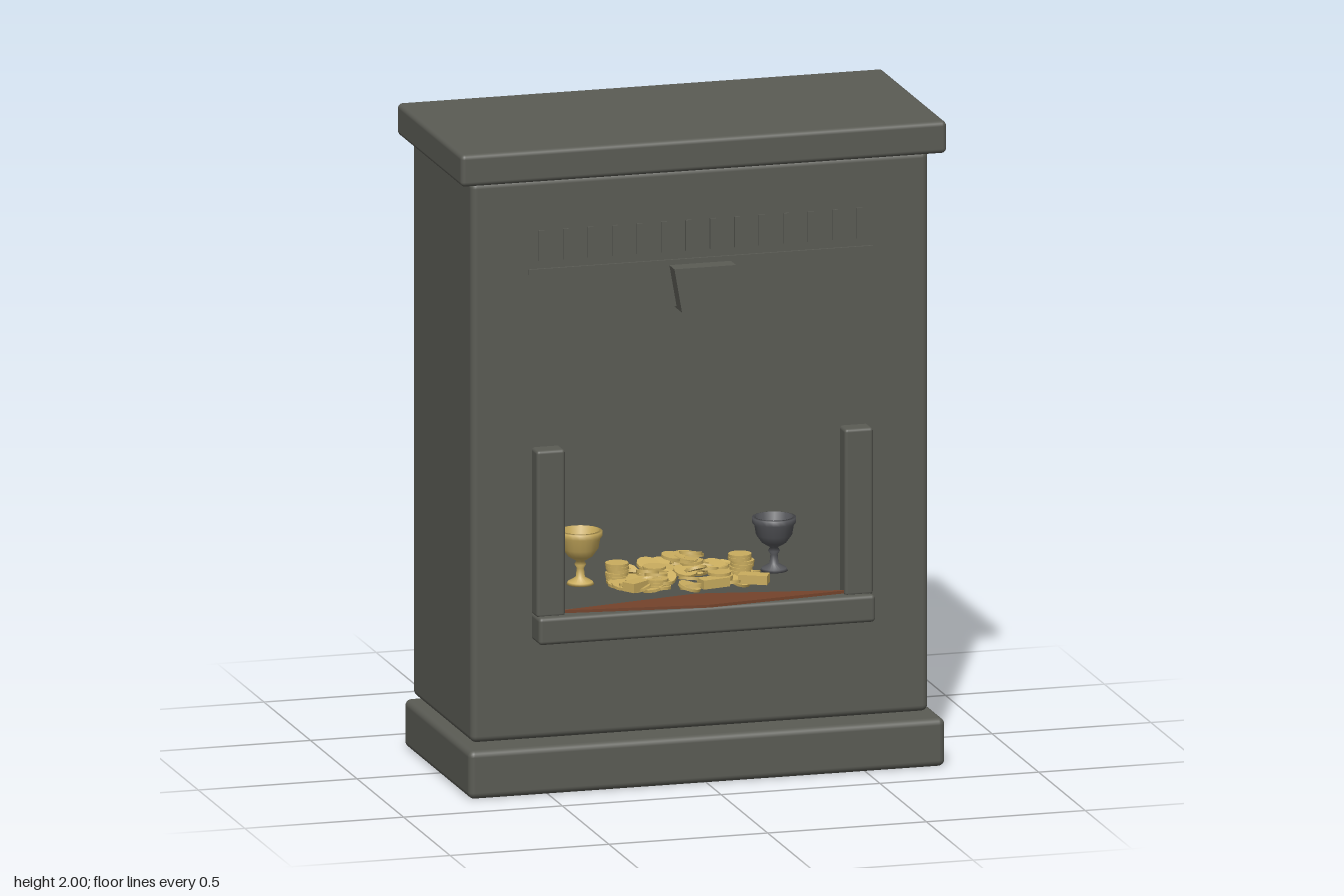
import * as THREE from 'three';
import { RoundedBoxGeometry } from 'three/addons/geometries/RoundedBoxGeometry.js';

export function createModel() {
  const model = new THREE.Group();
  model.name = 'fireplace';

  const material = (name, color, side = THREE.FrontSide) => {
    const m = new THREE.MeshStandardMaterial({ color, side });
    m.name = name;
    return m;
  };
  const stone = material('stone', 0x5a5b54);
  const shell = material('stone shell', 0x5a5b54, THREE.DoubleSide);
  const gold = material('gold', 0xc9ac5e, THREE.DoubleSide);
  const pewter = material('pewter', 0x55565a, THREE.DoubleSide);
  const leather = material('brown cloth', 0x74432b);

  const add = (name, geometry, mat, parent = model) => {
    const mesh = new THREE.Mesh(geometry, mat);
    mesh.name = name;
    parent.add(mesh);
    return mesh;
  };
  // Rounded slab given by its two opposite corners
  const slab = (name, [x0, y0, z0], [x1, y1, z1], r) => {
    const g = new RoundedBoxGeometry(x1 - x0, y1 - y0, z1 - z0, 3, r);
    return add(name, g.translate((x0 + x1) / 2, (y0 + y1) / 2, (z0 + z1) / 2), stone);
  };

  // Plinth and mantel
  slab('plinth', [-0.75, 0, -0.35], [0.75, 0.15, 0.355], 0.02);
  slab('mantel', [-0.765, 1.9, -0.375], [0.765, 2, 0.32], 0.015);

  // Hollow body: a rounded box whose flat front is swapped for an arched panel
  const r = 0.02, zFront = 0.275, zBack = -0.36, y0 = 0.155, y1 = 1.9;
  const depth = zFront - zBack;
  const box = new RoundedBoxGeometry(1.44, y1 - y0, depth, 3, r);
  const pos = box.attributes.position, nor = box.attributes.normal;
  const keptPos = [], keptNor = [];
  for (let i = 0; i < pos.count; i += 3) {
    const isFront = [0, 1, 2].every((k) => pos.getZ(i + k) > depth / 2 - 1e-4);
    if (isFront) continue;
    for (let k = i; k < i + 3; k++) {
      keptPos.push(pos.getX(k), pos.getY(k), pos.getZ(k));
      keptNor.push(nor.getX(k), nor.getY(k), nor.getZ(k));
    }
  }
  const body = new THREE.BufferGeometry();
  body.setAttribute('position', new THREE.Float32BufferAttribute(keptPos, 3));
  body.setAttribute('normal', new THREE.Float32BufferAttribute(keptNor, 3));
  body.translate(0, (y0 + y1) / 2, (zFront + zBack) / 2);
  add('bodyShell', body, shell);

  const panel = new THREE.Shape();
  const hx = 0.72 - r;
  panel.moveTo(-hx, y0 + r).lineTo(hx, y0 + r).lineTo(hx, y1 - r).lineTo(-hx, y1 - r).closePath();
  const arch = new THREE.Path();
  arch.moveTo(-0.43, 0.54).lineTo(0.43, 0.54).lineTo(0.43, 1.05);
  arch.absarc(0, 1.05, 0.43, 0, Math.PI, false);
  arch.closePath();
  panel.holes.push(arch);
  add('archedFront', new THREE.ShapeGeometry(panel, 24).translate(0, 0, zFront), shell);

  // Sill and side posts of the opening
  slab('sill', [-0.53, 0.465, 0.25], [0.53, 0.55, 0.355], 0.012);
  for (const s of [-1, 1]) {
    const x = s * 0.485;
    slab(s > 0 ? 'leftPost' : 'rightPost', [x - 0.045, 0.545, 0.25], [x + 0.045, 1.065, 0.33], 0.01);
  }

  // Keystone
  const key = new THREE.Shape();
  key.moveTo(-0.073, 1.465).lineTo(0.073, 1.465).lineTo(0.097, 1.602).lineTo(-0.097, 1.602).closePath();
  add('keystone', new THREE.ExtrudeGeometry(key, { depth: 0.08, bevelEnabled: false }).translate(0, 0, 0.25), stone);

  // Low-relief frieze: a moulding with a row of plain upright bars
  add('friezeMoulding', new THREE.BoxGeometry(1.085, 0.016, 0.009), stone).position.set(0, 1.612, zFront + 0.003);
  const frieze = new THREE.Group();
  frieze.name = 'friezeBars';
  model.add(frieze);
  for (let i = 0; i < 14; i++) {
    add('friezeBar', new THREE.BoxGeometry(0.018, 0.095, 0.008), stone, frieze)
      .position.set(-0.5 + i * 0.077, 1.692, zFront + 0.003);
  }

  // Thin pointed cloth lying over the sill
  const cloth = new THREE.Shape();
  cloth.moveTo(-0.46, -0.318).lineTo(0, -0.377).lineTo(0.46, -0.318).lineTo(0, -0.23).closePath();
  add('cloth', new THREE.ExtrudeGeometry(cloth, { depth: 0.009, bevelEnabled: false })
    .rotateX(-Math.PI / 2).translate(0, 0.553, 0), leather);

  // Goblets
  const profile = [[0, 0], [0.042, 0], [0.038, 0.008], [0.014, 0.022], [0.011, 0.05], [0.018, 0.062], [0.012, 0.072],
    [0.038, 0.088], [0.055, 0.112], [0.06, 0.142], [0.067, 0.15], [0.067, 0.166], [0.058, 0.168],
    [0.052, 0.13], [0.03, 0.1], [0, 0.094]].map(([x, y]) => new THREE.Vector2(x, y));
  const goblet = (name, x, mat) =>
    add(name, new THREE.LatheGeometry(profile, 20), mat).position.set(x, 0.567, 0.035);
  goblet('goldGoblet', -0.307, gold);
  goblet('pewterGoblet', 0.303, pewter);

  // Heap of coins
  let seed = 7;
  const rand = () => (seed = (seed * 16807) % 2147483647) / 2147483647;
  const hoard = new THREE.Group();
  hoard.name = 'hoard';
  model.add(hoard);
  const coin = new THREE.CylinderGeometry(0.036, 0.036, 0.009, 12);
  const placeCoin = (x, y, z, tilt) => {
    const c = add('coin', coin, gold, hoard);
    c.position.set(x, y, z);
    c.rotation.set((rand() - 0.5) * tilt, rand() * 6, (rand() - 0.5) * tilt);
  };
  for (let i = 0; i < 95; i++) {
    const a = rand() * Math.PI * 2, d = Math.sqrt(rand());
    const mound = Math.max(0, 1 - d * 1.25) * 0.105;
    placeCoin(0.225 * d * Math.cos(a), 0.572 + mound * (0.4 + 0.6 * rand()), 0.06 + 0.125 * d * Math.sin(a), 0.7);
  }
  // Neat stacks of coins
  for (const [x, z, n] of [[-0.19, 0.03, 6], [0.18, 0.1, 8], [0.1, 0.15, 4], [-0.1, 0.14, 3]]) {
    for (let i = 0; i < n; i++) placeCoin(x + (rand() - 0.5) * 0.01, 0.571 + i * 0.0098, z, 0.04);
  }
  // Small ingots
  for (const [x, z, turn] of [[0.07, 0.18, 0.2], [0.2, 0.17, -0.5], [-0.16, 0.15, 0.6]]) {
    const bar = add('ingot', new THREE.BoxGeometry(0.09, 0.028, 0.045), gold, hoard);
    bar.position.set(x, 0.581, z);
    bar.rotation.y = turn;
  }
  return model;
}
